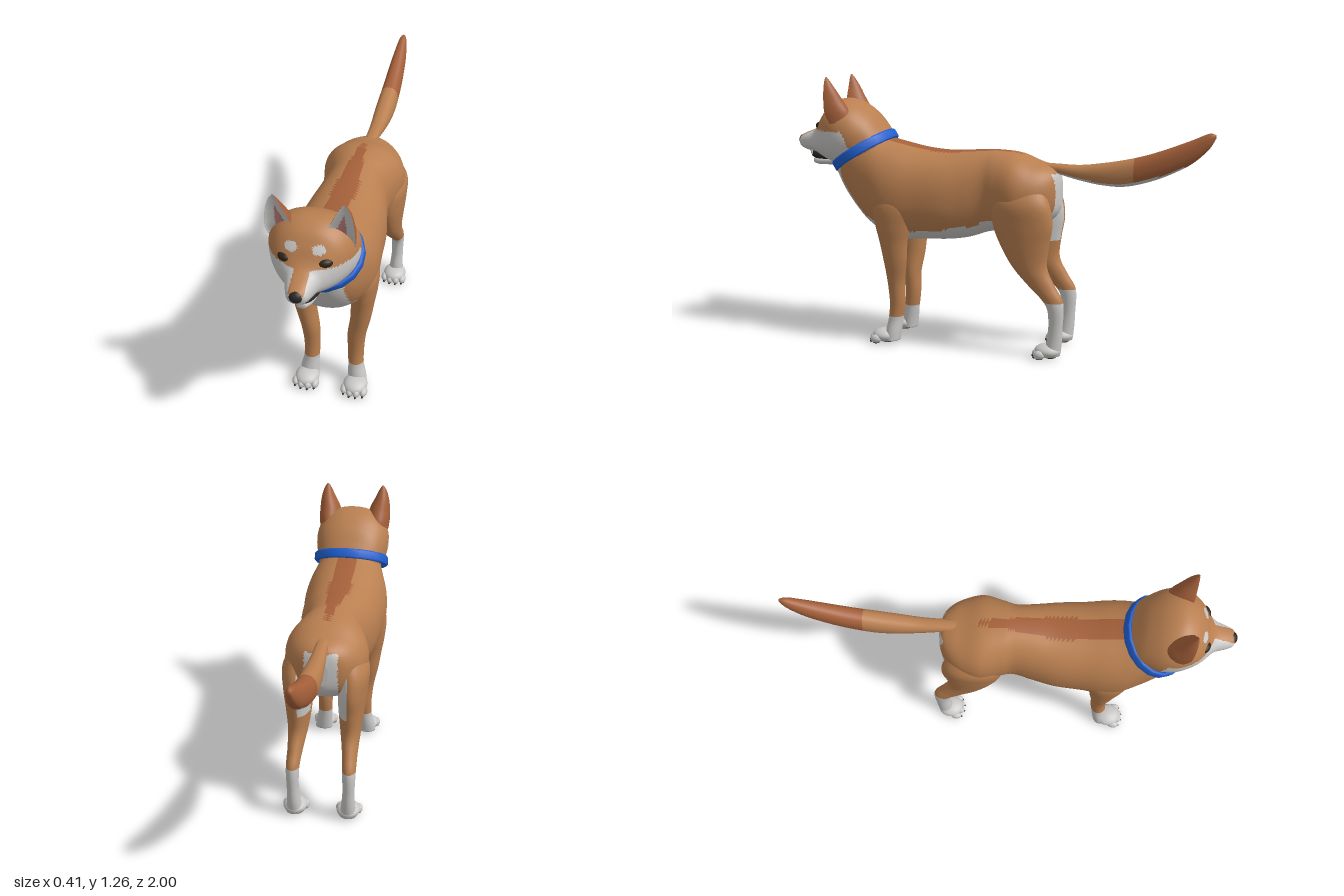
import * as THREE from 'three';

const mat = (name, color) => {
  const m = new THREE.MeshStandardMaterial({ color });
  m.name = name;
  return m;
};
const TAN = mat('tan fur', 0xb97f50);
const RUST = mat('rust fur', 0xa5603a);
const WHITE = mat('white fur', 0xc9c8c6);
const DARK = mat('black skin', 0x2a2725);
const EYE = mat('dark brown eye', 0x2f2418);
const PINK = mat('pink skin', 0xb97f7c);
const BLUE = mat('blue collar', 0x1f60d0);

// Smooth interpolation of station rows
function sample(rows, t) {
  const last = rows.length - 1;
  const i = Math.min(Math.floor(t), last - 1), f = t - i;
  const at = k => rows[Math.max(0, Math.min(last, k))];
  return rows[i].map((_, c) => {
    const a = at(i - 1)[c], b = at(i)[c], d = at(i + 1)[c], e = at(i + 2)[c];
    return b + 0.5 * f * (d - a + f * (2 * a - 5 * b + 4 * d - e + f * (3 * (b - d) + e - a)));
  });
}

// Closed loft through rings; paint(centre, normal) picks the material of each face
function loft(name, rows, ring, paint, sub = 6, seg = 40) {
  const pos = [], faces = [], steps = (rows.length - 1) * sub;
  for (let r = 0; r <= steps; r++) {
    const s = sample(rows, r / sub);
    for (let j = 0; j < seg; j++) pos.push(ring(s, (j / seg) * Math.PI * 2));
  }
  for (let r = 0; r < steps; r++) for (let j = 0; j < seg; j++) {
    const k = (j + 1) % seg, a = r * seg + j, b = r * seg + k;
    faces.push([a, b, a + seg], [b, b + seg, a + seg]);
  }
  for (const [start, flip] of [[0, true], [steps * seg, false]]) {
    const c = new THREE.Vector3();
    for (let j = 0; j < seg; j++) c.addScaledVector(pos[start + j], 1 / seg);
    const id = pos.push(c) - 1;
    for (let j = 0; j < seg; j++) {
      const a = start + j, b = start + (j + 1) % seg;
      faces.push(flip ? [id, b, a] : [id, a, b]);
    }
  }
  const byMat = new Map(), tri = new THREE.Triangle();
  const mid = new THREE.Vector3(), nor = new THREE.Vector3();
  for (const f of faces) {
    tri.set(pos[f[0]], pos[f[1]], pos[f[2]]);
    const m = paint(tri.getMidpoint(mid), tri.getNormal(nor));
    if (!byMat.has(m)) byMat.set(m, []);
    byMat.get(m).push(...f);
  }
  const g = new THREE.BufferGeometry().setFromPoints(pos), index = [], mats = [...byMat.keys()];
  mats.forEach((m, i) => {
    g.addGroup(index.length, byMat.get(m).length, i);
    for (const v of byMat.get(m)) index.push(v);
  });
  g.setIndex(index);
  g.computeVertexNormals();
  const mesh = new THREE.Mesh(g, mats);
  mesh.name = name;
  return mesh;
}

const soft = (v, p) => Math.sign(v) * Math.pow(Math.abs(v), p);
// Rows [z, top, bottom, halfWidth], back to front
const alongZ = ([z, top, bot, w], a) => new THREE.Vector3(
  w * soft(Math.cos(a), 0.88), (top + bot) / 2 + (top - bot) / 2 * soft(Math.sin(a), 0.92), z);
// Rows [y, x, z, radiusX, radiusZ], top to bottom
const alongY = side => ([y, x, z, rx, rz], a) =>
  new THREE.Vector3(side * x + rx * Math.cos(a), y, z + rz * Math.sin(a));
// Rows [y, x, frontZ, radiusX, depth], with a hollow front
const earRing = side => ([y, x, z, rx, d], a) => new THREE.Vector3(
  side * x + rx * Math.cos(a), y, z + d * Math.sin(a) * (Math.sin(a) > 0 ? -0.22 : 1));

function blob(name, m, x, y, z, rx, ry, rz, turn = 0) {
  const mesh = new THREE.Mesh(new THREE.SphereGeometry(1, 20, 14), m);
  mesh.name = name;
  mesh.position.set(x, y, z);
  mesh.scale.set(rx, ry, rz);
  mesh.rotation.y = turn;
  return mesh;
}

// Paw with four toes, claws and dark pads underneath
function paw(name, x, z) {
  const g = new THREE.Group();
  g.name = name;
  g.add(blob('pawTop', WHITE, x, 0.034, z + 0.035, 0.056, 0.033, 0.062));
  g.add(blob('heelPad', DARK, x, 0.005, z + 0.02, 0.03, 0.005, 0.025));
  for (let i = 0; i < 4; i++) {
    const o = i - 1.5, tx = x + o * 0.03, tz = z + 0.083 - Math.abs(o) * 0.012;
    g.add(blob('toe', WHITE, tx, 0.022, tz, 0.018, 0.021, 0.028));
    g.add(blob('toePad', DARK, tx, 0.004, tz, 0.012, 0.004, 0.016));
    g.add(blob('claw', DARK, tx, 0.01, tz + 0.023, 0.005, 0.006, 0.009));
  }
  return g;
}

export function createModel() {
  const dog = new THREE.Group();
  dog.name = 'dog';

  // Torso and neck
  dog.add(loft('torso', [
    [-0.315, 0.80, 0.69, 0.03], [-0.30, 0.85, 0.65, 0.09], [-0.26, 0.875, 0.61, 0.14],
    [-0.20, 0.895, 0.58, 0.175], [-0.12, 0.925, 0.565, 0.19], [-0.03, 0.935, 0.56, 0.165],
    [0.03, 0.935, 0.55, 0.15], [0.12, 0.93, 0.52, 0.165], [0.22, 0.925, 0.505, 0.185],
    [0.34, 0.935, 0.50, 0.195], [0.44, 0.955, 0.495, 0.205], [0.52, 0.975, 0.515, 0.20],
    [0.60, 1.01, 0.56, 0.175], [0.66, 1.02, 0.62, 0.155], [0.72, 1.0, 0.70, 0.13],
    [0.77, 0.95, 0.79, 0.09],
  ], alongZ, (p, n) => {
    const x = Math.abs(p.x);
    if (p.z > 0.53 && p.y < 0.84 && x < 0.12) return WHITE;
    if (n.y < -0.55 && p.z > -0.05 && x < 0.14) return WHITE;
    if (p.z < -0.24 && x < 0.075 && p.y < 0.84) return WHITE;
    if (n.y > 0.4 && p.z < 0.56 && x < Math.min(0.052, (p.z + 0.2) * 0.13)) return RUST;
    return TAN;
  }, 6, 64));

  // Tail
  dog.add(loft('tail', [
    [-1.0, 1.035, 1.02, 0.006], [-0.97, 1.04, 0.97, 0.02], [-0.90, 1.01, 0.905, 0.032],
    [-0.80, 0.97, 0.85, 0.04], [-0.70, 0.935, 0.812, 0.044], [-0.60, 0.91, 0.79, 0.046],
    [-0.50, 0.892, 0.793, 0.043], [-0.40, 0.88, 0.81, 0.036], [-0.30, 0.882, 0.835, 0.03],
    [-0.22, 0.885, 0.85, 0.028],
  ], alongZ, (p, n) => {
    if (n.y < -0.6 && p.z > -0.87) return WHITE;
    return p.z < -0.65 ? RUST : TAN;
  }));

  // Head: white cheeks and muzzle, tan bridge, white brow spots
  dog.add(loft('head', [
    [0.50, 0.96, 0.82, 0.08], [0.55, 1.03, 0.815, 0.13], [0.60, 1.09, 0.82, 0.157],
    [0.67, 1.14, 0.825, 0.18], [0.74, 1.157, 0.835, 0.18], [0.80, 1.135, 0.85, 0.156],
    [0.84, 1.09, 0.865, 0.128], [0.87, 1.04, 0.88, 0.098], [0.90, 1.01, 0.893, 0.07],
    [0.95, 0.99, 0.902, 0.052], [0.98, 0.975, 0.915, 0.038], [0.988, 0.96, 0.93, 0.02],
  ], alongZ, p => {
    const x = Math.abs(p.x);
    if (p.z > 0.75 && Math.hypot((x - 0.055) / 0.026, (p.y - 1.078) / 0.018) < 1) return WHITE;
    if (p.z > 0.85 && x < 0.032 && p.y > 0.962) return TAN;
    if (p.y < 1.012 && p.z > 0.66 + Math.max(0, p.y - 0.92) * 0.35) return WHITE;
    return TAN;
  }, 8, 80));

  // Open mouth
  dog.add(loft('mouthLining', [
    [0.80, 0.90, 0.86, 0.06], [0.86, 0.906, 0.858, 0.059], [0.91, 0.905, 0.862, 0.04],
    [0.925, 0.90, 0.87, 0.02],
  ], alongZ, () => DARK, 4, 24));
  dog.add(loft('lowerJaw', [
    [0.77, 0.885, 0.835, 0.055], [0.84, 0.873, 0.833, 0.048], [0.89, 0.868, 0.832, 0.036],
    [0.92, 0.866, 0.838, 0.018],
  ], alongZ, () => WHITE, 4, 24));
  dog.add(blob('tongue', PINK, 0, 0.876, 0.895, 0.026, 0.013, 0.042));
  dog.add(blob('nose', DARK, 0, 0.95, 0.974, 0.03, 0.027, 0.026));

  for (const side of [1, -1]) {
    const label = side > 0 ? 'left' : 'right';

    // Face details
    dog.add(blob(label + 'Eye', EYE, side * 0.083, 1.028, 0.848, 0.03, 0.019, 0.02, side * 0.5));
    const fang = new THREE.Mesh(new THREE.ConeGeometry(0.006, 0.022, 10), WHITE);
    fang.name = label + 'Fang';
    fang.position.set(side * 0.03, 0.893, 0.925);
    fang.rotation.x = Math.PI;
    dog.add(fang);

    // Ears: rust backs, white rims, pink hollows
    dog.add(loft(label + 'Ear', [
      [1.263, 0.14, 0.783, 0.003, 0.004], [1.24, 0.14, 0.783, 0.018, 0.022],
      [1.20, 0.137, 0.782, 0.034, 0.047], [1.15, 0.128, 0.78, 0.05, 0.075],
      [1.10, 0.124, 0.775, 0.056, 0.10], [1.05, 0.125, 0.755, 0.05, 0.09],
    ], earRing(side), (p, n) => {
      if (n.z < 0.15) return RUST;
      const t = (1.21 - p.y) / 0.12;
      const mid = 0.138 - 0.022 * t;
      return t > 0 && Math.abs(Math.abs(p.x) - mid) < 0.028 * Math.min(1, t) ? PINK : WHITE;
    }, 6, 40));

    // Front leg
    dog.add(loft(label + 'FrontLeg', [
      [0.79, 0.12, 0.46, 0.05, 0.07], [0.68, 0.145, 0.46, 0.06, 0.10],
      [0.58, 0.142, 0.46, 0.058, 0.085], [0.50, 0.135, 0.46, 0.052, 0.068],
      [0.40, 0.125, 0.457, 0.046, 0.055], [0.30, 0.108, 0.46, 0.042, 0.042],
      [0.20, 0.103, 0.457, 0.037, 0.038], [0.12, 0.105, 0.465, 0.036, 0.036],
      [0.06, 0.112, 0.475, 0.042, 0.038], [0.015, 0.115, 0.48, 0.045, 0.036],
    ], alongY(side), p => p.y < 0.13 ? WHITE : TAN));
    dog.add(paw(label + 'FrontPaw', side * 0.115, 0.485));

    // Hind leg with white inner thigh and stocking
    dog.add(loft(label + 'HindLeg', [
      [0.82, 0.10, -0.15, 0.04, 0.08], [0.72, 0.125, -0.155, 0.07, 0.132],
      [0.62, 0.125, -0.165, 0.068, 0.14], [0.52, 0.122, -0.175, 0.06, 0.115],
      [0.42, 0.122, -0.20, 0.048, 0.082], [0.34, 0.126, -0.255, 0.037, 0.064],
      [0.28, 0.13, -0.305, 0.032, 0.05], [0.23, 0.131, -0.325, 0.03, 0.038],
      [0.15, 0.13, -0.326, 0.028, 0.033], [0.08, 0.128, -0.32, 0.032, 0.036],
      [0.015, 0.126, -0.312, 0.04, 0.035],
    ], alongY(side), (p, n) => {
      if (p.y < 0.265) return WHITE;
      return p.y > 0.5 && p.z < -0.2 && n.x * side < -0.35 ? WHITE : TAN;
    }));
    dog.add(paw(label + 'HindPaw', side * 0.126, -0.325));
  }

  // Collar: tilted oval band
  const band = [[0.168, -0.022], [0.182, -0.024], [0.188, -0.016], [0.188, 0.016],
    [0.182, 0.024], [0.168, 0.022], [0.168, -0.022]].map(([r, y]) => new THREE.Vector2(r, y));
  const collar = new THREE.Mesh(new THREE.LatheGeometry(band, 18), BLUE);
  collar.name = 'collar';
  collar.scale.z = 0.9;
  collar.rotation.x = 0.546;
  collar.position.set(0, 0.91, 0.652);
  dog.add(collar);

  return dog;
}
